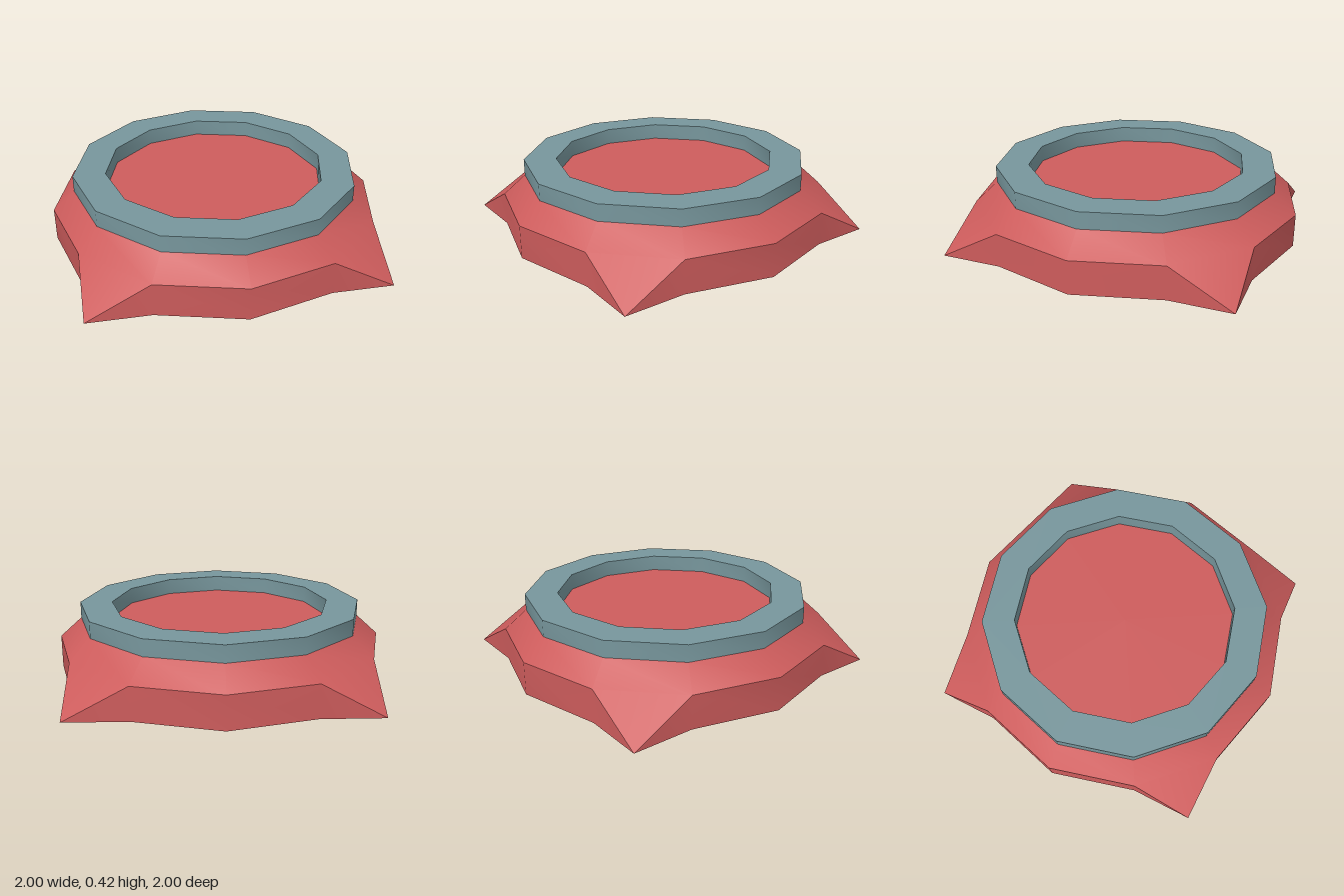
import * as THREE from 'three';
import { toCreasedNormals } from 'three/addons/utils/BufferGeometryUtils.js';

const SIDES = 12;
const WALL_TOP = 0.2, DECK = 0.32, RING_TOP = 0.42;
const OUTER = 1, INNER = 0.867, HOLE = 0.67;
const CREASE = THREE.MathUtils.degToRad(35);

// Point on a twelve-sided ring
const ringPoint = (r, y, i) => {
  const a = (i / SIDES) * Math.PI * 2;
  return [r * Math.cos(a), y, r * Math.sin(a)];
};

// Twelve-sided base with a pointed foot on each diagonal
function baseGeometry() {
  const pos = [];
  const tri = (a, b, c) => pos.push(...a, ...b, ...c);
  const quad = (a, b, c, d) => { tri(a, b, c); tri(a, c, d); };
  for (let i = 0; i < SIDES; i++) {
    const [a0, b0] = [i, i + 1].map(k => ringPoint(OUTER, 0, k));
    const [a1, b1] = [i, i + 1].map(k => ringPoint(OUTER, WALL_TOP, k));
    const [a2, b2] = [i, i + 1].map(k => ringPoint(INNER, DECK, k));
    tri([0, DECK, 0], b2, a2);   // deck
    quad(a1, a2, b2, b1);        // chamfer
    tri([0, 0, 0], a0, b0);      // underside
    if (i % 3 === 1) {
      // foot: chamfer runs on down to a tip on the ground
      const tip = ringPoint(OUTER * Math.sqrt(1.5), 0, i + 0.5);
      tri(a1, b1, tip);
      tri(a0, a1, tip);
      tri(tip, b1, b0);
      tri(a0, tip, b0);
    } else {
      quad(a0, a1, b1, b0);      // upright wall
    }
  }
  const geo = new THREE.BufferGeometry();
  geo.setAttribute('position', new THREE.Float32BufferAttribute(pos, 3));
  return toCreasedNormals(geo, CREASE);
}

// Twelve-sided collar with an open middle
function collarGeometry() {
  const outline = r => Array.from({ length: SIDES }, (_, i) => {
    const [x, , z] = ringPoint(r, 0, i);
    return new THREE.Vector2(x, z);
  });
  const shape = new THREE.Shape(outline(INNER));
  shape.holes.push(new THREE.Path(outline(HOLE)));
  const geo = new THREE.ExtrudeGeometry(shape, { depth: RING_TOP - DECK, bevelEnabled: false });
  geo.rotateX(-Math.PI / 2).translate(0, DECK, 0);
  return toCreasedNormals(geo, CREASE);
}

export function createModel() {
  const group = new THREE.Group();
  const add = (name, geo, color) => {
    const mesh = new THREE.Mesh(geo, new THREE.MeshStandardMaterial({ color }));
    mesh.name = name;
    group.add(mesh);
  };
  add('base', baseGeometry(), 0xcd5c5c);
  add('collarRing', collarGeometry(), 0x77969c);
  return group;
}
